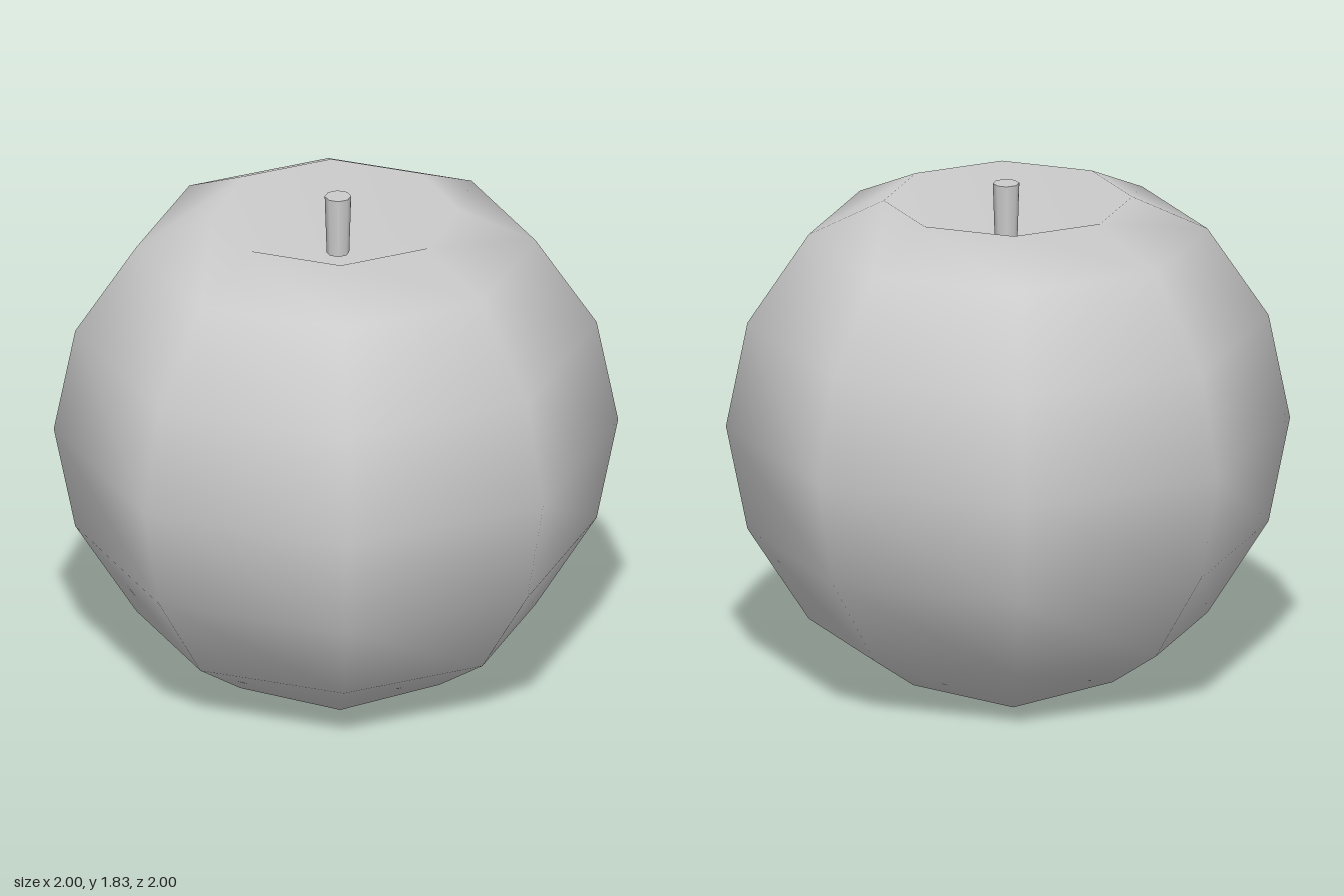
import * as THREE from 'three';
import { mergeVertices } from 'three/addons/utils/BufferGeometryUtils.js';

const SIDES = 8;
const CENTRE_Y = 0.94;

// Eight-sided smooth ball, dimpled at both poles, with a four-lobed underside
function fruitGeometry() {
  const source = new THREE.SphereGeometry(1, SIDES, 8);
  source.deleteAttribute('normal');
  source.deleteAttribute('uv');
  const geo = mergeVertices(source, 1e-3);
  const pos = geo.attributes.position;
  for (let i = 0; i < pos.count; i++) {
    const x = pos.getX(i), y = pos.getY(i), z = pos.getZ(i);
    const r = Math.hypot(x, z);
    let newR = r, newY = y + CENTRE_Y;
    if (r < 0.01) {
      newY = y > 0 ? 1.56 : 0.3; // bottoms of the dimples
    } else if (y > 0.8) {
      newR = 0.44; // upper rim
      newY = 1.77;
    } else if (y < -0.8) {
      const lobe = Math.min(Math.abs(x), Math.abs(z)) > 0.1; // diagonal corners are feet
      newR = lobe ? 0.38 : 0.5;
      newY = lobe ? 0 : 0.08;
    } else if (y < -0.6) {
      newY = 0.22;
    }
    const k = r < 0.01 ? 0 : newR / r;
    pos.setXYZ(i, x * k, newY, z * k);
  }
  geo.computeVertexNormals();
  return geo;
}

export function createModel() {
  const model = new THREE.Group();
  model.name = 'apple';
  const material = new THREE.MeshStandardMaterial({ color: 0xcccccc });

  const fruit = new THREE.Mesh(fruitGeometry(), material);
  fruit.name = 'fruit';
  model.add(fruit);

  // Short stem, slightly wider at the top
  const stemBase = 1.61, stemTop = 1.83;
  const stem = new THREE.Mesh(
    new THREE.CylinderGeometry(0.047, 0.04, stemTop - stemBase, SIDES), material);
  stem.name = 'stem';
  stem.position.set(0, (stemBase + stemTop) / 2, -0.01);
  model.add(stem);

  return model;
}
